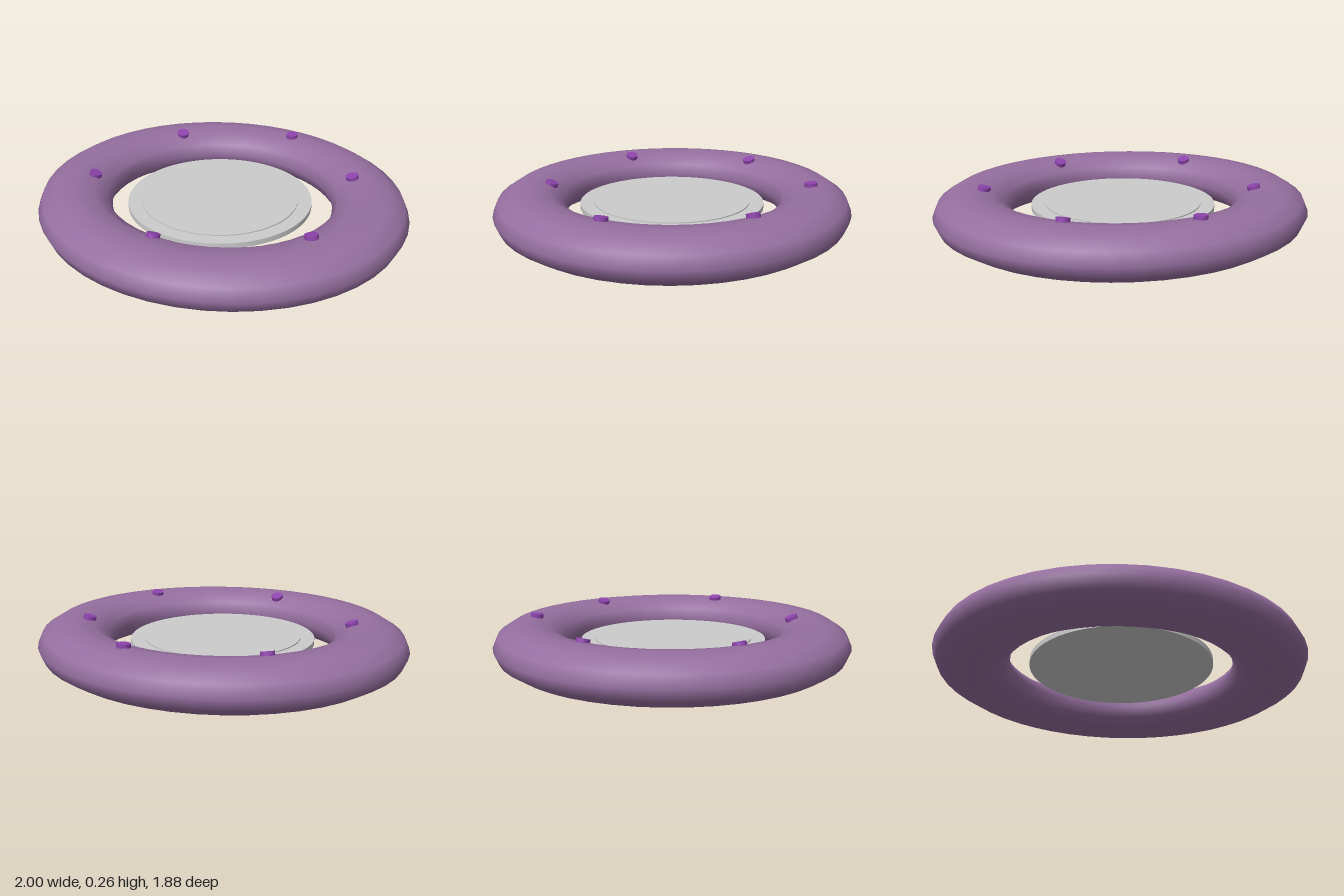
import * as THREE from 'three';

const RING = 0.8, TUBE = 0.2, SY = 0.6, SZ = 0.94, MID = 0.12;

export function createModel() {
  const model = new THREE.Group();
  const grey = new THREE.MeshStandardMaterial({ color: 0xcccccc });
  const mauve = new THREE.MeshStandardMaterial({ color: 0x966fa0 });
  const violet = new THREE.MeshStandardMaterial({ color: 0x8e44ad });

  function add(name, geometry, material, x, y, z) {
    const mesh = new THREE.Mesh(geometry, material);
    mesh.name = name;
    mesh.position.set(x, y, z);
    model.add(mesh);
    return mesh;
  }

  // Flattened, slightly oval ring
  const ringGeometry = new THREE.TorusGeometry(RING, TUBE, 12, 48);
  ringGeometry.rotateX(-Math.PI / 2);
  ringGeometry.scale(1, SY, SZ);
  add('ring', ringGeometry, mauve, 0, MID, 0);

  // Floating centre disc with a slightly raised face
  add('disc', new THREE.CylinderGeometry(0.491, 0.491, 0.028, 64), grey, -0.006, 0.121, 0.005);
  add('discFace', new THREE.CylinderGeometry(0.418, 0.418, 0.02, 64), grey, -0.006, 0.131, 0.005);

  // Studs set into the upper surface, each aligned with the surface normal
  const studGeometry = new THREE.CylinderGeometry(0.034, 0.034, 0.032, 16);
  const spots = [
    [-0.01, -0.73], [0.545, -0.445], [0.69, 0.235],
    [0.08, 0.645], [-0.605, 0.335], [-0.578, -0.387],
  ];
  const up = new THREE.Vector3(0, 1, 0);
  for (const [x, z] of spots) {
    const w = z / SZ;
    const radius = Math.hypot(x, w);
    const out = radius - RING;
    const rise = Math.sqrt(TUBE * TUBE - out * out);
    const normal = new THREE.Vector3(out * x / radius, rise / SY, out * w / radius / SZ).normalize();
    const stud = add('stud', studGeometry, violet, x, MID + SY * rise, z);
    stud.quaternion.setFromUnitVectors(up, normal);
  }

  return model;
}
